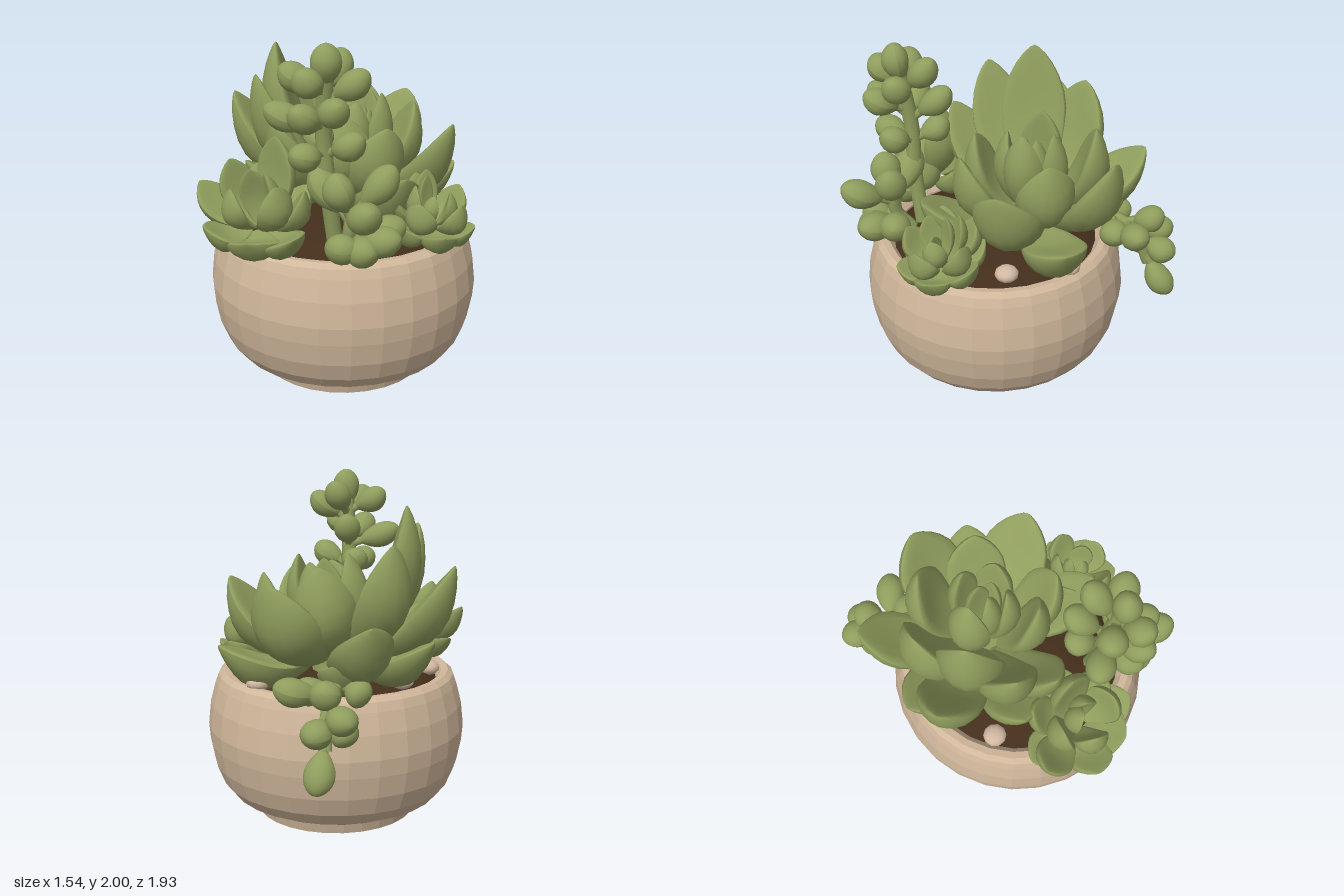
import * as THREE from 'three';

const V = (a) => new THREE.Vector3(...a);

// Unit leaf: base at y=0, tip at y=1, inner face toward +z
function leafGeometry(peak, tipPower, bow, cup, keel) {
  const g = new THREE.SphereGeometry(0.5, 16, 14);
  const p = g.attributes.position;
  for (let i = 0; i < p.count; i++) {
    const y = p.getY(i), t = y + 0.5;
    const r = Math.hypot(p.getX(i), p.getZ(i));
    const f = t < peak
      ? Math.pow(Math.sin((t / peak) * Math.PI / 2), 0.7)
      : Math.pow(Math.max(0, Math.cos(((t - peak) / (1 - peak)) * Math.PI / 2)), tipPower);
    const k = r > 1e-5 ? (f * 0.5) / r : 0;
    const x = p.getX(i) * k;
    let z = p.getZ(i) * k;
    if (z > 0) z *= keel;
    z += cup * x * x - bow * Math.sin(Math.PI * t);
    p.setXYZ(i, x, t, z);
  }
  g.computeVertexNormals();
  return g;
}

export function createModel() {
  const model = new THREE.Group();
  const mat = (name, color) => {
    const m = new THREE.MeshStandardMaterial({ color });
    m.name = name;
    return m;
  };
  const clay = mat('clay', 0xd0b79b);
  clay.flatShading = true;
  const pebbleMat = mat('pebble', 0xd2b9a2);
  const soilMat = mat('soil', 0x432e1b);
  const green = mat('leaf green', 0x8f9d5d);

  const add = (parent, name, geo, material) => {
    const m = new THREE.Mesh(geo, material);
    m.name = name;
    parent.add(m);
    return m;
  };
  const group = (name) => {
    const g = new THREE.Group();
    g.name = name;
    model.add(g);
    return g;
  };
  const lathe = (pts, n) => new THREE.LatheGeometry(pts.map((q) => new THREE.Vector2(...q)), n);

  // Pot with foot, rounded belly, thick rim and hollow inside
  const pot = add(model, 'pot', lathe([
    [0, 0], [0.48, 0], [0.5, 0.075], [0.54, 0.08], [0.63, 0.125], [0.69, 0.2], [0.735, 0.31],
    [0.76, 0.44], [0.768, 0.54], [0.752, 0.68], [0.72, 0.8], [0.7, 0.85], [0.67, 0.875],
    [0.63, 0.87], [0.6, 0.83], [0.6, 0.75],
  ], 28), clay);
  pot.position.z = 0.12;

  // Mounded soil
  const soil = add(model, 'soil', lathe([[0.61, 0.81], [0.54, 0.86], [0.4, 0.91], [0.2, 0.94], [0, 0.95]], 28), soilMat);
  soil.position.z = 0.12;

  // Pebbles
  const pebbles = group('pebbles');
  for (const [x, y, z] of [[0.5, 0.89, -0.03], [0.38, 0.89, -0.36], [-0.55, 0.88, 0.13], [-0.42, 0.89, -0.22]]) {
    const m = add(pebbles, 'pebble', new THREE.SphereGeometry(0.068, 10, 8), pebbleMat);
    m.position.set(x, y, z);
    m.scale.y = 0.65;
  }

  const broad = leafGeometry(0.6, 0.68, 0.45, 0.9, 0.5);
  const bud = leafGeometry(0.58, 0.5, 0.05, 0, 0.95);

  // Stretch a unit leaf from base to tip, with its inner face toward up
  const leaf = (parent, geo, base, tip, up, width, thick) => {
    const dir = tip.clone().sub(base);
    const len = dir.length();
    dir.normalize();
    const n = up.clone().addScaledVector(dir, -up.dot(dir));
    if (n.lengthSq() < 1e-4) n.set(0, 0, 1).addScaledVector(dir, -dir.z);
    n.normalize();
    const m = add(parent, 'leaf', geo, green);
    m.quaternion.setFromRotationMatrix(new THREE.Matrix4().makeBasis(dir.clone().cross(n), dir, n));
    m.position.copy(base);
    m.scale.set(width, len, thick);
  };

  // Rosette: explicit leaves as tip x, y, z and width
  const rosette = (name, center, up, thick, tips) => {
    const g = group(name);
    const c = V(center);
    for (const [x, y, z, w] of tips) {
      const tip = V([x, y, z]);
      const base = c.clone().lerp(new THREE.Vector3(x, center[1], z), 0.15);
      leaf(g, broad, base, tip, V(up), w, Math.min(thick, w * 0.65));
    }
  };

  // Short trunk under the large rosette
  const trunk = add(model, 'trunk', new THREE.CylinderGeometry(0.12, 0.14, 0.2, 12), green);
  trunk.position.set(-0.02, 0.96, -0.1);

  rosette('large rosette', [-0.02, 0.99, -0.1], [0.1, 1, 0], 0.25, [
    // outer ring
    [-0.3, 1.31, -0.73, 0.36], [0.28, 1.49, -0.58, 0.42], [0.6, 1.1, -0.37, 0.36],
    [0.61, 1.43, 0, 0.4], [0.4, 1.24, 0.46, 0.36], [-0.52, 1.25, 0.3, 0.34],
    [-0.7, 1.54, -0.14, 0.38], [-0.18, 1.1, -0.64, 0.32], [-0.6, 1.15, -0.36, 0.34],
    // tall middle ring
    [-0.42, 1.86, -0.05, 0.38], [-0.37, 1.68, -0.36, 0.4], [-0.47, 1.73, 0.23, 0.34],
    [-0.33, 1.51, 0.42, 0.32], [0.27, 1.46, 0.26, 0.34], [0.02, 1.57, -0.46, 0.36],
    [0.36, 1.5, -0.24, 0.34], [0.04, 1.5, 0.22, 0.32],
    // heart
    [-0.1, 1.6, -0.14, 0.26], [0.19, 1.58, -0.07, 0.24], [0.1, 1.56, -0.23, 0.22], [0.06, 1.54, 0.03, 0.22],
    [0.07, 1.5, -0.13, 0.16], [0.03, 1.48, -0.07, 0.16], [0.12, 1.48, -0.07, 0.14],
  ]);

  rosette('front rosette', [-0.37, 0.97, 0.57], [-0.1, 1, 0.2], 0.14, [
    [-0.74, 1.18, 0.48, 0.24], [-0.64, 1.02, 0.76, 0.26], [-0.38, 0.98, 0.86, 0.3], [-0.14, 1.0, 0.82, 0.25],
    [-0.67, 1.0, 0.38, 0.24], [-0.12, 1.2, 0.62, 0.22], [-0.16, 1.15, 0.36, 0.22],
    [-0.3, 1.46, 0.5, 0.28], [-0.55, 1.33, 0.52, 0.22], [-0.5, 1.22, 0.7, 0.2], [-0.26, 1.25, 0.73, 0.24],
    [-0.42, 1.3, 0.6, 0.16], [-0.34, 1.28, 0.6, 0.16], [-0.45, 1.25, 0.32, 0.22],
  ]);

  // Small rosette in rings: count, radius, tip height, width, turn
  const small = [];
  for (const [n, r, y, w, a0] of [[6, 0.25, 1.0, 0.21, 0.1], [5, 0.2, 1.15, 0.19, 0.5], [3, 0.11, 1.19, 0.14, 0.2], [2, 0.04, 1.17, 0.1, 0.9]]) {
    for (let i = 0; i < n; i++) {
      const a = a0 + (i / n) * Math.PI * 2;
      small.push([0.52 + r * Math.cos(a), y - 0.04 * Math.cos(a) - 0.03 * Math.sin(a), 0.33 + r * Math.sin(a), w]);
    }
  }
  rosette('small rosette', [0.52, 0.94, 0.33], [0.15, 1, 0.1], 0.12, small);

  // Sprig: a curved stem with plump buds on short stalks, each given as tip x, y, z and stem position 0..1
  const sprig = (name, path, radius, width, buds) => {
    const g = group(name);
    const curve = new THREE.CatmullRomCurve3(path.map(V));
    add(g, 'stem', new THREE.TubeGeometry(curve, 14, radius, 8), green);
    for (const [x, y, z, t] of buds) {
      const root = curve.getPoint(t), tip = V([x, y, z]);
      const base = root.clone().lerp(tip, 0.2);
      add(g, 'stalk', new THREE.TubeGeometry(new THREE.LineCurve3(root, root.clone().lerp(tip, 0.35)), 1, 0.026, 6), green);
      leaf(g, bud, base, tip, new THREE.Vector3(0, 1, 0), width, width * 0.95);
    }
  };

  sprig('tall sprig', [[0.03, 0.88, 0.55], [0.0, 1.2, 0.59], [-0.02, 1.5, 0.6], [0.0, 1.84, 0.65]], 0.045, 0.165, [
    [0.01, 2.0, 0.67, 0.88], [-0.24, 1.87, 0.64, 0.9], [-0.1, 1.87, 0.83, 0.9], [0.06, 1.93, 0.44, 0.88],
    [0.22, 1.85, 0.63, 0.85], [0.1, 1.72, 0.83, 0.76], [-0.12, 1.69, 0.86, 0.72], [-0.33, 1.65, 0.62, 0.7],
    [-0.03, 1.73, 0.37, 0.7], [0.2, 1.52, 0.7, 0.56], [-0.13, 1.45, 0.83, 0.57], [-0.1, 1.5, 0.4, 0.56],
  ]);

  sprig('low sprig', [[0.1, 0.88, 0.6], [0.13, 1.0, 0.68], [0.15, 1.15, 0.68]], 0.04, 0.18, [
    [0.06, 1.35, 0.76, 0.75], [0.28, 1.22, 0.95, 0.75], [0.36, 1.37, 0.64, 0.85], [0.1, 0.97, 0.89, 0.45],
    [0.41, 1.03, 0.81, 0.4], [0.27, 0.96, 0.87, 0.35], [-0.08, 1.33, 0.6, 0.7], [0.42, 1.05, 0.62, 0.4],
  ]);

  sprig('trailing sprig', [[-0.12, 0.9, -0.42], [-0.1, 0.95, -0.56], [-0.06, 0.88, -0.7], [-0.07, 0.66, -0.79]], 0.032, 0.17, [
    [-0.03, 0.47, -0.94, 0.9], [-0.01, 0.76, -0.95, 0.75], [-0.21, 0.84, -0.92, 0.66], [-0.22, 0.71, -0.76, 0.75],
    [0.22, 0.98, -0.74, 0.55], [-0.06, 1.0, -0.87, 0.52], [-0.28, 0.92, -0.62, 0.3], [0.14, 0.92, -0.6, 0.35],
  ]);

  return model;
}
